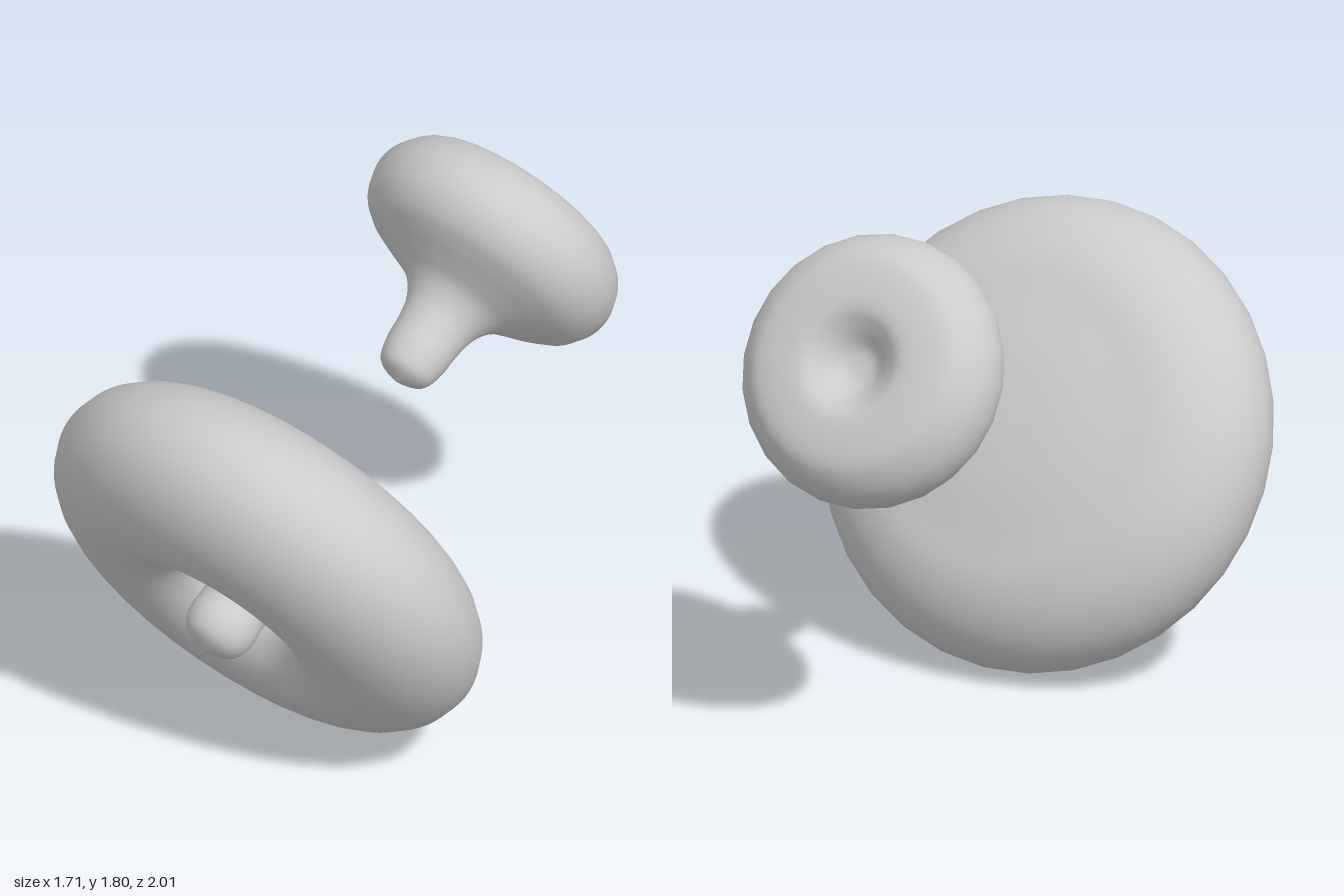
import * as THREE from 'three';

const material = new THREE.MeshStandardMaterial({ color: 0xcccccc });
const AXIS = new THREE.Vector3(-0.36, -0.5, 0.787).normalize();

// Outer part of a ring with an elliptical section, running back to front
function rim(ring, wide, thick) {
  const points = [];
  for (let i = 1; i <= 7; i++) {
    const a = -Math.PI / 2 + (i / 8) * Math.PI;
    points.push([ring + wide * Math.cos(a), thick * Math.sin(a)]);
  }
  return points;
}

// Revolves a smooth curve through [radius, height] pairs, listed from back to front,
// then tilts it so that its stem points forward, down and to its right
function body(name, position, points, sides) {
  const curve = new THREE.SplineCurve(points.map(([r, h]) => new THREE.Vector2(r, h)));
  const profile = curve.getPoints(80).map(p => new THREE.Vector2(Math.max(p.x, 0), p.y));
  const mesh = new THREE.Mesh(new THREE.LatheGeometry(profile, sides), material);
  mesh.name = name;
  mesh.quaternion.setFromUnitVectors(new THREE.Vector3(0, 1, 0), AXIS);
  mesh.position.set(...position);
  return mesh;
}

export function createModel() {
  const model = new THREE.Group();
  model.name = 'discPair';

  // Large disc: domed back, thick rim, narrow crater in the front around a short stem
  model.add(body('largeDisc', [-0.09, 0.74, 0.41], [
    [0, -0.345], [0.22, -0.335], [0.42, -0.305],
    ...rim(0.42, 0.387, 0.3),
    [0.42, 0.3], [0.3, 0.265], [0.225, 0.195], [0.192, 0.11], [0.165, 0.07], [0.138, 0.11],
    [0.12, 0.2], [0.122, 0.3], [0.085, 0.365], [0, 0.395],
  ], 32));

  // Small cap: shallow dimple in the back, rounded rim, cone-shaped front flowing into a stem
  model.add(body('smallCap', [0.41, 1.39, -0.65], [
    [0, -0.09], [0.06, -0.1], [0.13, -0.155], [0.2, -0.188],
    ...rim(0.255, 0.21, 0.19),
    [0.25, 0.215], [0.18, 0.255], [0.135, 0.32], [0.118, 0.4],
    [0.112, 0.48], [0.085, 0.555], [0, 0.59],
  ], 24));

  return model;
}
